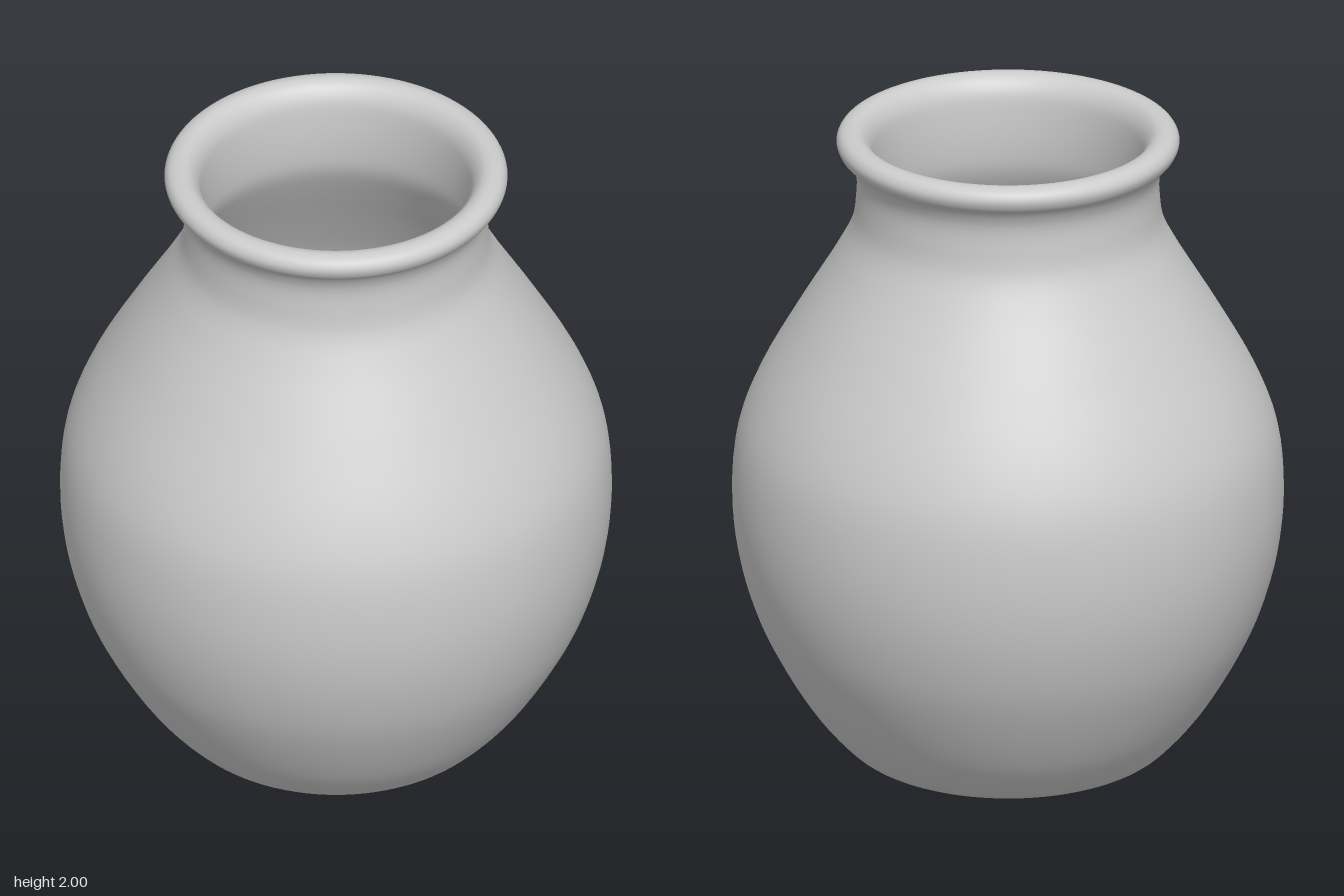
import * as THREE from 'three';

// Smooth lathe profile through [radius, height] points
function smoothProfile(points, stepsPerSpan) {
  const curve = new THREE.CatmullRomCurve3(
    points.map(([r, y]) => new THREE.Vector3(r, y, 0)), false, 'centripetal');
  return curve.getPoints((points.length - 1) * stepsPerSpan)
    .map((p) => new THREE.Vector2(Math.max(p.x, 0), Math.min(Math.max(p.y, 0), 2)));
}

export function createModel() {
  const group = new THREE.Group();
  group.name = 'vase';

  // Outside: foot, belly, shoulder and neck
  const outside = [
    [0, 0], [0.15, 0], [0.27, 0], [0.38, 0.012], [0.46, 0.045], [0.52, 0.1], [0.6, 0.2],
    [0.7, 0.37], [0.757, 0.5], [0.803, 0.67], [0.82, 0.85], [0.803, 1.04],
    [0.745, 1.2], [0.635, 1.4], [0.575, 1.5], [0.515, 1.6], [0.465, 1.7], [0.452, 1.78],
    [0.452, 1.86],
  ];
  // Rolled lip
  const lip = [
    [0.475, 1.912], [0.5, 1.935], [0.51, 1.965], [0.497, 1.99], [0.465, 2],
    [0.435, 1.99], [0.41, 1.955], [0.4, 1.9],
  ];
  // Inside wall and floor
  const inside = [
    [0.398, 1.78], [0.41, 1.7], [0.46, 1.6], [0.58, 1.4], [0.69, 1.2], [0.748, 1.04],
    [0.765, 0.85], [0.748, 0.67], [0.7, 0.5], [0.645, 0.37], [0.545, 0.2], [0.46, 0.11],
    [0.36, 0.07], [0.2, 0.06], [0, 0.06],
  ];

  const body = new THREE.Mesh(
    new THREE.LatheGeometry(smoothProfile([...outside, ...lip, ...inside], 4), 96),
    new THREE.MeshStandardMaterial({ color: 0xcccccc }));
  body.name = 'vaseBody';
  group.add(body);
  return group;
}
